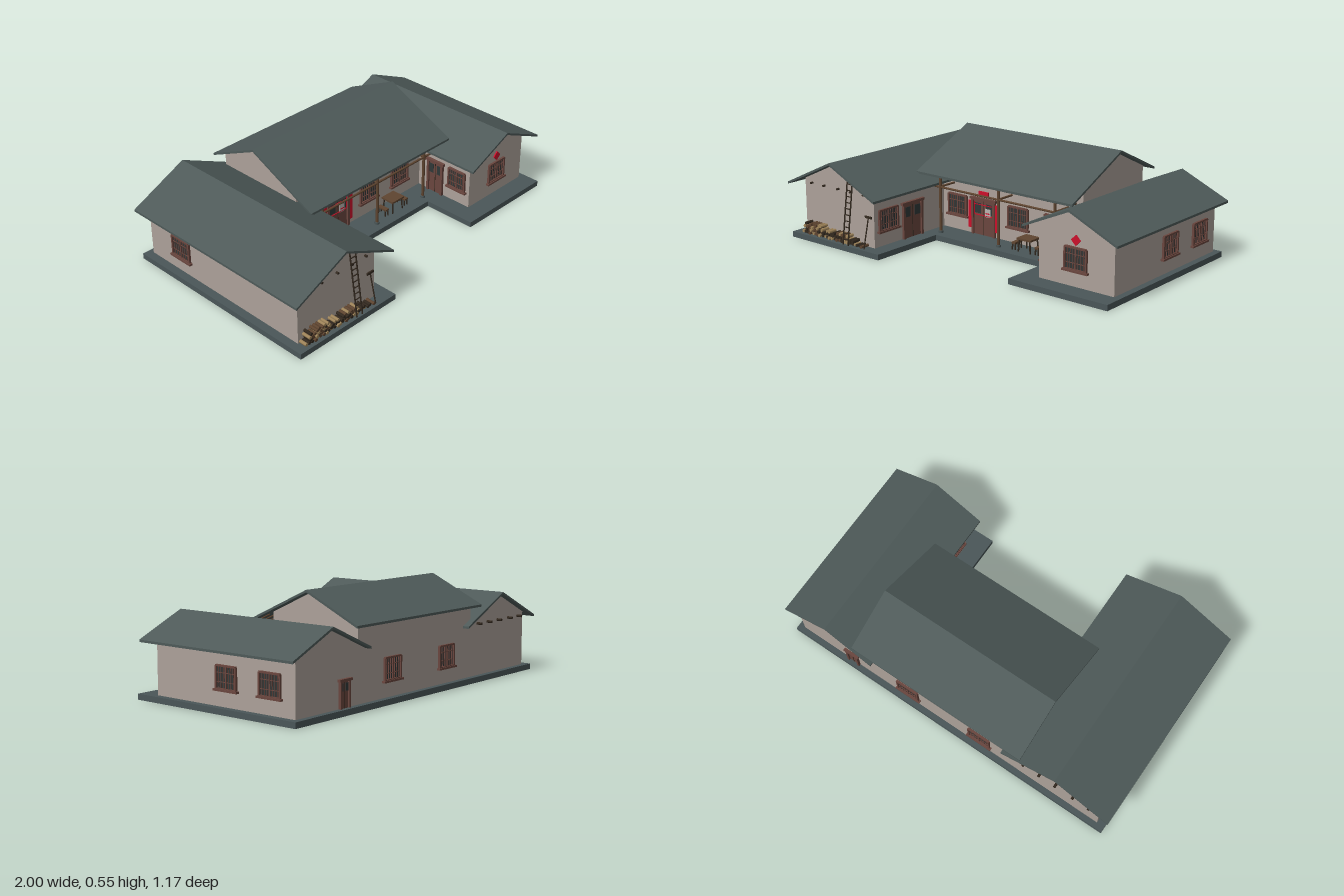
import * as THREE from 'three';

const mat = (name, color, side = THREE.FrontSide) => {
  const m = new THREE.MeshStandardMaterial({ color, side });
  m.name = name;
  return m;
};

export function createModel() {
  const M = {
    roof: mat('slate roof', 0x4e5a59),
    stone: mat('dark stone', 0x4a5658),
    wall: mat('plaster', 0xaca199),
    wood: mat('reddish wood', 0x6a463e),
    pane: mat('dark glass', 0x2f3838),
    beam: mat('brown timber', 0x5f4530),
    dark: mat('dark timber', 0x33291f),
    log: mat('cut wood', 0xa0855a),
    red: mat('red paper', 0xcc0f2a),
    paper: mat('pale paper', 0xb9b3b0),
  };
  const root = new THREE.Group();
  root.name = 'courtyardHouse';

  const add = (name, geo, m, parent = root) => {
    const mesh = new THREE.Mesh(geo, m);
    mesh.name = name;
    parent.add(mesh);
    return mesh;
  };
  const group = (name, parent = root) => {
    const g = new THREE.Group();
    g.name = name;
    parent.add(g);
    return g;
  };
  // Box given by its lower and upper limits on each axis
  const box = (name, x0, x1, y0, y1, z0, z1, m, parent) => {
    const g = new THREE.BoxGeometry(x1 - x0, y1 - y0, z1 - z0);
    g.translate((x0 + x1) / 2, (y0 + y1) / 2, (z0 + z1) / 2);
    return add(name, g, m, parent);
  };
  // Round pole between two points
  const pole = (name, a, b, r, m, parent, sides = 8) => {
    const p = new THREE.Vector3(...a), q = new THREE.Vector3(...b);
    const mesh = add(name, new THREE.CylinderGeometry(r, r, p.distanceTo(q), sides), m, parent);
    mesh.position.copy(p).add(q).multiplyScalar(0.5);
    mesh.quaternion.setFromUnitVectors(new THREE.Vector3(0, 1, 0), q.sub(p).normalize());
    return mesh;
  };
  // Extrude a (u, y) outline along z, or along x when alongX is set (u becomes z)
  const prism = (name, pts, from, to, m, alongX) => {
    const shape = new THREE.Shape(pts.map(p => new THREE.Vector2(...p)));
    const g = new THREE.ExtrudeGeometry(shape, { depth: to - from, bevelEnabled: false });
    if (alongX) g.rotateY(-Math.PI / 2).translate(to, 0, 0);
    else g.translate(0, 0, from);
    return add(name, g, m);
  };

  // U-shaped plinth
  const plinth = [[-0.98, 0.58], [-0.98, -0.58], [0.98, -0.58], [0.98, 0.44],
    [0.4, 0.44], [0.4, 0.14], [-0.34, 0.14], [-0.34, 0.58]];
  const plinthShape = new THREE.Shape(plinth.map(([x, z]) => new THREE.Vector2(x, -z)));
  add('plinth', new THREE.ExtrudeGeometry(plinthShape, { depth: 0.03, bevelEnabled: false })
    .rotateX(-Math.PI / 2), M.stone);

  // Gabled block: walls w0..w1 across and l0..l1 along, roof r0..r1 across and q0..q1 along
  const T = 0.012;
  const block = (name, o) => {
    const roofY = u => o.top - Math.abs(u - o.ridge) * o.slope;
    prism(name + 'Walls', [[o.w0, 0.03], [o.w1, 0.03], [o.w1, roofY(o.w1) - T],
      [o.ridge, o.top - T], [o.w0, roofY(o.w0) - T]], o.l0, o.l1, M.wall, o.alongX);
    prism(name + 'Roof', [[o.r0, roofY(o.r0)], [o.r0, roofY(o.r0) - T], [o.ridge, o.top - T],
      [o.r1, roofY(o.r1) - T], [o.r1, roofY(o.r1)], [o.ridge, o.top]], o.q0, o.q1, M.roof, o.alongX);
  };
  block('leftHandWing', { w0: -0.935, w1: -0.425, ridge: -0.68, top: 0.455, slope: 0.47,
    l0: -0.55, l1: 0.515, r0: -1, r1: -0.36, q0: -0.585, q1: 0.583 });
  block('rightHandWing', { w0: 0.505, w1: 0.945, ridge: 0.725, top: 0.425, slope: 0.445,
    l0: -0.55, l1: 0.335, r0: 0.45, r1: 1, q0: -0.585, q1: 0.4 });
  block('mainHall', { w0: -0.55, w1: -0.02, ridge: -0.275, top: 0.553, slope: 0.465,
    l0: -0.425, l1: 0.505, r0: -0.585, r1: 0.14, q0: -0.475, q1: 0.555, alongX: true });

  // Openings are modelled facing +z, then turned onto their wall
  const place = (g, x, y, z, turn) => {
    g.position.set(x, y, z);
    g.rotation.y = turn;
  };
  const makeWindow = (x, z, turn, w = 0.125) => {
    const g = group('window'), h = 0.11, a = w / 2, b = h / 2, f = 0.009;
    box('windowPane', -a, a, -b, b, 0, 0.003, M.pane, g);
    for (const s of [-1, 1]) {
      box('windowJamb', s * a - f / 2, s * a + f / 2, -b, b, 0, 0.012, M.wood, g);
      box('windowRail', -a, a, s * b - f / 2, s * b + f / 2, 0, 0.012, M.wood, g);
    }
    box('windowSill', -a - 0.013, a + 0.013, -b - 0.01, -b, 0, 0.018, M.wood, g);
    box('windowMullion', -0.004, 0.004, -b, b, 0, 0.009, M.wood, g);
    for (let i = 1; i < 8; i++)
      if (i !== 4) box('windowBar', -a + i * w / 8 - 0.0015, -a + i * w / 8 + 0.0015, -b, b, 0, 0.007, M.wood, g);
    for (const y of [-0.022, 0.022]) box('windowCrossBar', -a, a, y - 0.0015, y + 0.0015, 0, 0.007, M.wood, g);
    place(g, x, 0.17, z, turn);
  };
  const makeDoor = (x, z, turn, w, h) => {
    const g = group('door'), a = w / 2, f = Math.min(0.014, w / 6);
    box('doorLeaf', -a, a, 0, h, 0, 0.005, M.wood, g);
    for (const s of [-1, 1]) {
      const c = s * (a - f / 2);
      box('doorPost', c - f / 2, c + f / 2, 0, h, 0, 0.014, M.wood, g);
      box('doorPanel', s * a / 2 - a * 0.28, s * a / 2 + a * 0.28, h * 0.58, h * 0.85, 0, 0.007, M.pane, g);
    }
    box('doorLintel', -a - 0.008, a + 0.008, h - f, h, 0, 0.017, M.wood, g);
    box('doorGap', -0.0015, 0.0015, 0, h - f, 0, 0.0065, M.dark, g);
    place(g, x, 0.03, z, turn);
    return g;
  };
  const E = Math.PI / 2, W = -Math.PI / 2, N = Math.PI;
  for (const x of [-0.32, 0.095, 0.335]) makeWindow(x, -0.02, 0);
  makeWindow(0.725, 0.335, 0);
  for (const z of [-0.13, -0.402]) makeWindow(0.945, z, E);
  makeWindow(-0.425, 0.415, E, 0.135);
  makeWindow(-0.935, -0.31, W);
  for (const x of [0.245, -0.205]) makeWindow(x, -0.55, N);
  makeWindow(0.505, 0.25, W, 0.11);
  makeDoor(-0.425, 0.235, E, 0.15, 0.2);
  makeDoor(0.505, 0.1, W, 0.11, 0.2);
  makeDoor(0.61, -0.55, N, 0.075, 0.14);
  const front = makeDoor(-0.138, -0.02, 0, 0.16, 0.205);

  // Red papers round the main door
  for (const s of [-1, 1]) {
    box('doorCouplet', s * 0.092 - 0.013, s * 0.092 + 0.013, 0.03, 0.18, 0, 0.008, M.red, front);
    box('doorRedTrim', s * 0.062 - 0.002, s * 0.062 + 0.002, 0.11, 0.18, 0, 0.009, M.red, front);
  }
  box('doorBanner', -0.032, 0.032, 0.214, 0.24, 0, 0.008, M.red, front);
  box('doorRedRail', -0.062, 0.062, 0.165, 0.169, 0, 0.009, M.red, front);
  box('doorRedRail', -0.062, 0.062, 0.108, 0.112, 0, 0.009, M.red, front);
  box('doorNotice', 0.01, 0.048, 0.105, 0.15, 0, 0.0085, M.paper, front);
  box('doorNoticeStripe', 0.016, 0.042, 0.122, 0.128, 0, 0.0095, M.red, front);
  const diamond = add('redDiamond', new THREE.BoxGeometry(0.038, 0.038, 0.008), M.red);
  diamond.position.set(0.725, 0.262, 0.338);
  diamond.rotation.z = Math.PI / 4;

  // Porch frame
  const porch = group('porch');
  for (const x of [-0.35, 0.05, 0.412]) {
    pole('porchColumn', [x, 0.03, 0.09], [x, 0.36, 0.09], 0.008, M.beam, porch, 10);
    pole('porchTieBeam', [x, 0.285, -0.03], [x, 0.285, 0.09], 0.006, M.beam, porch);
    pole('porchColumnBase', [x, 0.03, 0.09], [x, 0.042, 0.09], 0.013, M.stone, porch, 10);
  }
  pole('porchEaveBeam', [-0.46, 0.352, 0.09], [0.54, 0.352, 0.09], 0.008, M.beam, porch);
  pole('porchLowBeam', [-0.42, 0.283, 0.09], [0.505, 0.283, 0.09], 0.006, M.beam, porch);
  for (let i = 0; i < 16; i++) {
    const x = -0.44 + i * 0.064;
    pole('porchRafter', [x, 0.411, -0.01], [x, 0.346, 0.13], 0.004, M.beam, porch, 6);
  }

  // Timber ends poking out of the walls
  for (const x of [-0.88, -0.785, -0.68, -0.585, -0.49]) {
    pole('beamEnd', [x, 0.305, -0.54], [x, 0.305, -0.58], 0.007, M.dark);
    pole('beamEnd', [x, 0.305, 0.5], [x, 0.305, 0.53], 0.006, M.dark);
  }
  for (const z of [0.17, -0.01, -0.1, -0.53]) pole('eaveBeamEnd', [0.93, 0.298, z], [0.985, 0.298, z], 0.006, M.dark);

  // Ladder leaning on the front gable
  const ladder = group('ladder');
  const ladderZ = y => 0.572 - (y - 0.03) * 0.135;
  for (const x of [-0.602, -0.565])
    pole('ladderRail', [x, 0.03, ladderZ(0.03)], [x, 0.395, ladderZ(0.395)], 0.004, M.dark, ladder, 6);
  for (let y = 0.06; y < 0.39; y += 0.032)
    pole('ladderRung', [-0.602, y, ladderZ(y)], [-0.565, y, ladderZ(y)], 0.003, M.dark, ladder, 6);

  // Hoe leaning on the wall
  const hoe = group('hoe');
  pole('hoeHandle', [-0.46, 0.03, 0.56], [-0.46, 0.195, 0.521], 0.0035, M.dark, hoe, 6);
  box('hoeHead', -0.482, -0.438, 0.186, 0.198, 0.518, 0.526, M.dark, hoe);

  // Stacked firewood, uneven in height
  let seed = 7;
  const rnd = () => (seed = (seed * 16807) % 2147483647) / 2147483647;
  const pile = group('firewood');
  for (let x = -0.92, i = 0; x < -0.47; x += 0.0185, i++) {
    const rows = x < -0.78 ? 4 : x < -0.58 ? 3 : 2;
    const count = Math.max(1, rows - (i === 0 ? 2 : 0) - (rnd() < 0.35 ? 1 : 0));
    for (let r = 0; r < count; r++) {
      const rad = 0.0075 + rnd() * 0.002, px = x + (r % 2) * 0.009, py = 0.039 + r * 0.0165;
      pole('firewoodLog', [px, py, 0.512], [px, py, 0.555 + rnd() * 0.012], rad,
        [M.log, M.beam, M.dark][Math.floor(rnd() * 3)], pile, 7);
    }
  }

  // Table and stools in the porch
  const seat = (name, x, z, w, d, h) => {
    const g = group(name);
    box(name + 'Top', x - w, x + w, h - 0.01, h, z - d, z + d, M.beam, g);
    for (const sx of [-1, 1]) for (const sz of [-1, 1])
      pole(name + 'Leg', [x + sx * w * 0.85, 0.03, z + sz * d * 0.85],
        [x + sx * w * 0.75, h - 0.005, z + sz * d * 0.75], 0.004, M.dark, g, 6);
  };
  seat('table', 0.215, 0.05, 0.045, 0.04, 0.105);
  seat('stool', 0.14, 0.05, 0.012, 0.03, 0.072);
  seat('stool', 0.29, 0.05, 0.012, 0.03, 0.072);

  return root;
}
